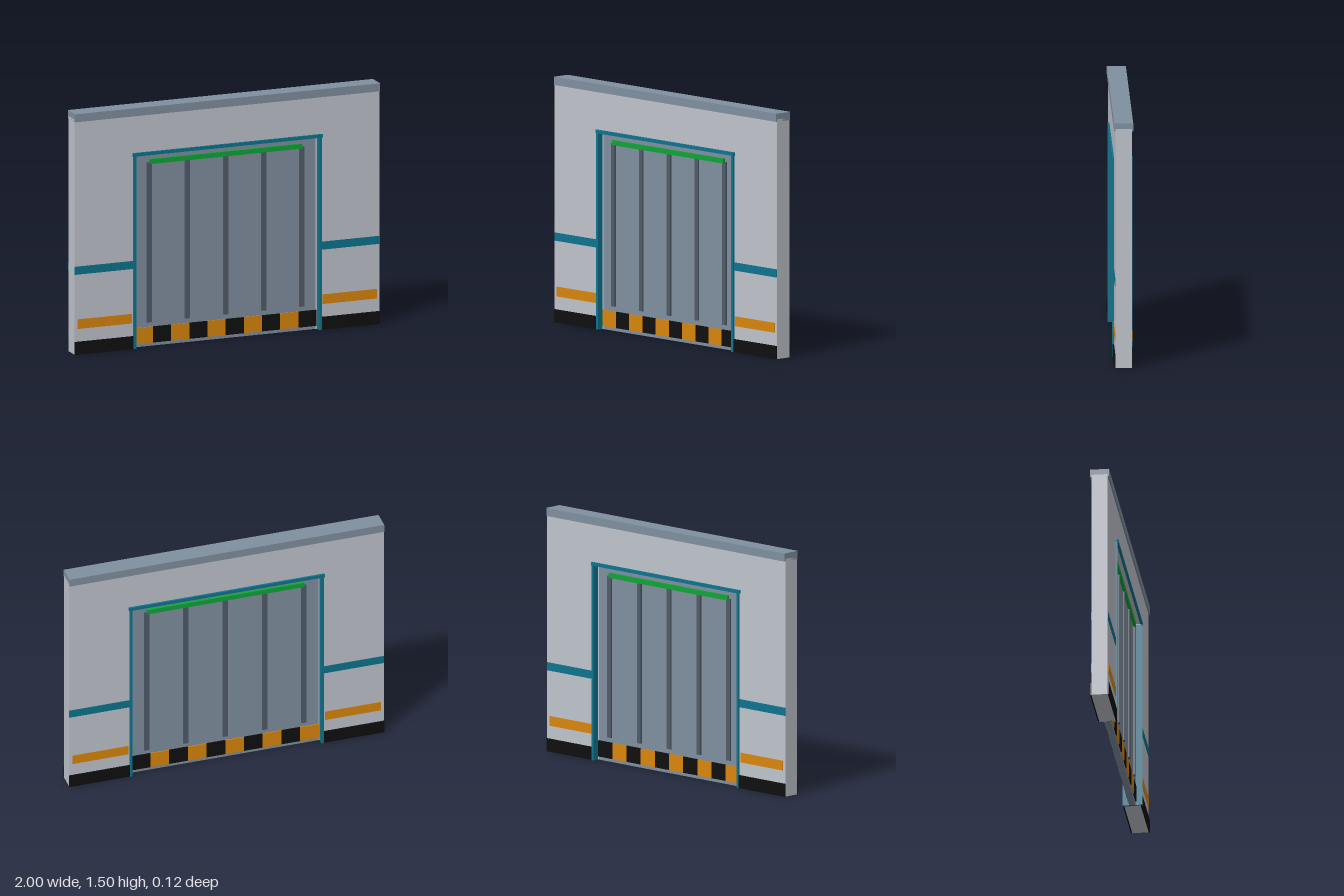
import * as THREE from 'three';

const material = (name, color) => {
  const m = new THREE.MeshStandardMaterial({ color });
  m.name = name;
  return m;
};

export function createModel() {
  const model = new THREE.Group();
  model.name = 'wallWithDoor';
  const wallGrey = material('wallGrey', 0xc0c4cc);
  const slate = material('slate', 0x8090a0);
  const darkSlate = material('darkSlate', 0x515b69);
  const teal = material('teal', 0x0e748e);
  const orange = material('orange', 0xd9860c);
  const black = material('black', 0x0f0f0f);
  const green = material('green', 0x10a538);

  // Box given by its limits on each axis
  const box = (name, mat, x0, x1, y0, y1, z0, z1) => {
    const mesh = new THREE.Mesh(new THREE.BoxGeometry(x1 - x0, y1 - y0, z1 - z0), mat);
    mesh.position.set((x0 + x1) / 2, (y0 + y1) / 2, (z0 + z1) / 2);
    mesh.name = name;
    model.add(mesh);
  };
  // Same detail on the front and the back
  const bothFaces = (name, mat, x0, x1, y0, y1, z0, z1) => {
    box(name + 'Front', mat, x0, x1, y0, y1, z0, z1);
    box(name + 'Back', mat, x0, x1, y0, y1, -z1, -z0);
  };

  // Wall with a doorway
  const outline = new THREE.Shape([
    [-1, 0], [-0.605, 0], [-0.605, 1.21], [0.605, 1.21],
    [0.605, 0], [1, 0], [1, 1.47], [-1, 1.47],
  ].map(([x, y]) => new THREE.Vector2(x, y)));
  const wall = new THREE.Mesh(
    new THREE.ExtrudeGeometry(outline, { depth: 0.1, bevelEnabled: false }), wallGrey);
  wall.position.z = -0.05;
  wall.name = 'wall';
  model.add(wall);
  box('topCap', slate, -1, 1, 1.455, 1.505, -0.058, 0.058);

  // Painted bands, skirting and door jambs on each side
  for (const s of [-1, 1]) {
    const span = (a, b) => (s > 0 ? [a, b] : [-b, -a]);
    bothFaces('skirting', black, ...span(0.61, 1), 0, 0.08, 0.05, 0.058);
    bothFaces('tealBand', teal, ...span(0.61, 1), 0.5, 0.55, 0.05, 0.053);
    bothFaces('orangeBand', orange, ...span(0.625, 0.98), 0.16, 0.22, 0.05, 0.053);
    box('jamb', teal, ...span(0.6, 0.616), 0, 1.205, -0.061, 0.061);
    bothFaces('doorEdge', wallGrey, ...span(0.593, 0.6), 0, 1.2, 0.02, 0.022);
  }
  bothFaces('lintel', teal, -0.622, 0.622, 1.203, 1.224, 0.05, 0.062);

  // Door leaf with ribs and a light bar
  box('door', slate, -0.6, 0.6, 0, 1.21, -0.02, 0.02);
  for (let i = -2; i <= 2; i++) {
    bothFaces('rib', darkSlate, i * 0.25 - 0.016, i * 0.25 + 0.016, 0.15, 1.15, 0.02, 0.03);
  }
  bothFaces('lightBar', green, -0.5, 0.5, 1.14, 1.17, 0.02, 0.036);

  // Hazard blocks along the bottom of the door
  for (let i = 0; i < 10; i++) {
    const x = -0.595 + i * 0.119;
    bothFaces('hazardBlock', i % 2 ? black : orange, x, x + 0.119, 0.02, 0.12, 0.02, 0.026);
  }
  return model;
}
